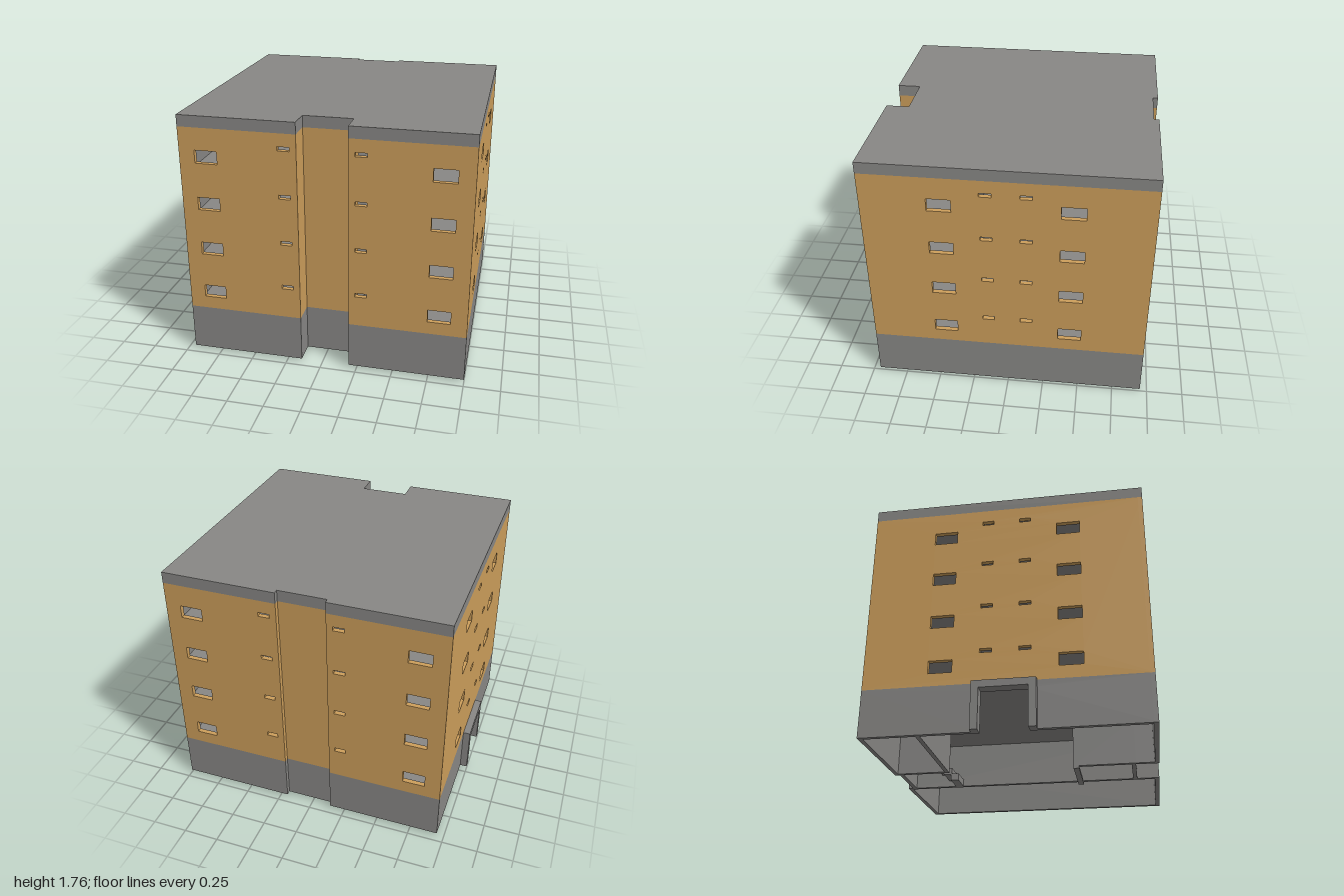
import * as THREE from 'three';

const T = 0.03; // outer wall thickness
const Y0 = 0.02, Y1 = 0.35, Y2 = 1.685, Y3 = 1.765; // base, facade, roof band, top
const STOREY = 0.333;

const mat = (name, color) => {
  const m = new THREE.MeshStandardMaterial({ color });
  m.name = name;
  return m;
};

// Plan as [x, z] points, inset by i, running so that the outside is on the right
const plan = (i = 0) => {
  const l = -0.95 + i, r = 1 - i, f = 0.95 - i, b = -0.95 + i;
  const nl = -0.145 - i, nr = 0.195 + i, nf = 0.79 - i, nb = -0.915 + i;
  return [[l, f], [nl, f], [nl, nf], [nr, nf], [nr, f], [r, f],
    [r, b], [nr, b], [nr, nb], [nl, nb], [nl, b], [l, b]];
};

const rectPoints = (u0, u1, v0, v1) =>
  [[u0, v0], [u1, v0], [u1, v1], [u0, v1]].map(p => new THREE.Vector2(...p));

// Upright panel from plan point a to b; its outer face lies `back` behind that line
function panel(a, b, y0, y1, { depth = T, back = 0, trim = 0, holes = [], door = null }, material) {
  const dx = b[0] - a[0], dz = b[1] - a[1], len = Math.hypot(dx, dz);
  const pts = rectPoints(trim, len - trim, y0, y1);
  if (door) {
    const [u0, u1, h] = door;
    pts.splice(1, 0, ...[[u0, y0], [u0, h], [u1, h], [u1, y0]].map(p => new THREE.Vector2(...p)));
  }
  const shape = new THREE.Shape(pts);
  for (const h of holes) shape.holes.push(new THREE.Path(rectPoints(...h).reverse()));
  const geo = new THREE.ExtrudeGeometry(shape, { depth, bevelEnabled: false });
  geo.translate(0, 0, -depth - back);
  const mesh = new THREE.Mesh(geo, material);
  mesh.rotation.y = Math.atan2(-dz, dx);
  mesh.position.set(a[0], 0, a[1]);
  return mesh;
}

// Horizontal slab following the plan
function slab(name, inset, y, h, material) {
  const shape = new THREE.Shape(plan(inset).map(([x, z]) => new THREE.Vector2(x, -z)));
  const geo = new THREE.ExtrudeGeometry(shape, { depth: h, bevelEnabled: false });
  geo.rotateX(-Math.PI / 2).translate(0, y, 0);
  const mesh = new THREE.Mesh(geo, material);
  mesh.name = name;
  return mesh;
}

// Box given by its limits
function block(name, x0, x1, y0, y1, z0, z1, material) {
  const geo = new THREE.BoxGeometry(x1 - x0, y1 - y0, z1 - z0);
  geo.translate((x0 + x1) / 2, (y0 + y1) / 2, (z0 + z1) / 2);
  const mesh = new THREE.Mesh(geo, material);
  mesh.name = name;
  return mesh;
}

// Repeats one storey of large and small window openings over four storeys
function windows(large, small) {
  const holes = [];
  for (let s = 0; s < 4; s++) {
    const y = s * STOREY;
    for (const [a, b] of large) holes.push([a, b, 0.44 + y, 0.53 + y]);
    for (const [a, b] of small) holes.push([a, b, 0.568 + y, 0.596 + y]);
  }
  return holes;
}

export function createModel() {
  const model = new THREE.Group();
  model.name = 'apartmentBlock';
  const grey = mat('concreteGrey', 0x888785);
  const ochre = mat('facadeOchre', 0xcc9e5b);

  // Window layouts, measured along each wall
  const outerFirst = windows([[0.108, 0.263]], [[0.678, 0.758]]);
  const innerFirst = windows([[0.538, 0.693]], [[0.043, 0.123]]);
  const side = windows([[0.44, 0.6], [1.3, 1.46]], [[0.78, 0.86], [1.04, 1.12]]);
  const layouts = { 0: outerFirst, 4: innerFirst, 5: side, 6: outerFirst, 10: innerFirst, 11: side };

  // Outer walls: grey base, ochre facade, grey inner lining
  const base = new THREE.Group(), facade = new THREE.Group(), lining = new THREE.Group();
  base.name = 'baseWalls';
  facade.name = 'facadeWalls';
  lining.name = 'wallLining';
  const points = plan();
  points.forEach((a, i) => {
    const b = points[(i + 1) % points.length];
    const holes = layouts[i] || [];
    const door = i === 11 ? [0.79, 1.11, 0.3] : null;
    base.add(panel(a, b, Y0, Y1, { door }, grey));
    facade.add(panel(a, b, Y1, Y2, { holes }, ochre));
    if (holes.length)
      lining.add(panel(a, b, Y1, Y2, { holes, depth: 0.004, back: T, trim: T + 0.005 }, grey));
  });
  model.add(base, facade, lining);

  // Roof band and storey floors
  model.add(slab('roof', 0, Y2, Y3 - Y2, grey));
  for (let s = 0; s < 4; s++) model.add(slab('floor', T, Y1 - 0.01 + s * STOREY, 0.02, grey));

  // Upper partitions: rooms on both sides of a clear corridor
  for (const s of [-1, 1]) {
    const z0 = s > 0 ? 0.2 : -0.9, z1 = s > 0 ? 0.9 : -0.2;
    model.add(
      block('roomWall', 0.197, 0.222, Y1, Y2, z0, z1, grey),
      block('roomWall', -0.172, -0.147, Y1, Y2, z0, z1, grey),
      block('corridorWall', 0.2, 0.965, Y1, Y2, s * 0.21 - 0.01, s * 0.21 + 0.01, grey),
      block('corridorWall', -0.915, -0.15, Y1, Y2, s * 0.21 - 0.01, s * 0.21 + 0.01, grey));
  }

  // Ground floor partitions and lobby threshold
  model.add(
    block('groundHallWall', 0.195, 0.225, Y0, Y1, -0.92, 0.92, grey),
    block('lobbyWall', -0.175, -0.145, Y0, Y1, 0.355, 0.8, grey),
    block('storeSideWall', -0.175, -0.145, Y0, Y1, -0.92, -0.55, grey),
    block('storeFrontWall', -0.93, -0.145, Y0, Y1, -0.575, -0.545, grey),
    block('lobbyThreshold', -0.18, 0.225, 0, Y0, 0.355, 0.395, grey));

  // Stair flight rising towards the back
  const stairs = new THREE.Group();
  stairs.name = 'stairs';
  for (let i = 0; i < 7; i++) {
    const y = Y0 + i * 0.045, z = -0.52 - i * 0.053;
    stairs.add(block('step', 0.03, 0.195, y, y + 0.05, z - 0.058, z, grey));
  }
  model.add(stairs);

  // Side entrance portal
  const portal = new THREE.Group();
  portal.name = 'entrancePortal';
  portal.add(
    block('portalPost', -1, -0.95, Y0, Y1, -0.21, -0.16, grey),
    block('portalPost', -1, -0.95, Y0, Y1, 0.16, 0.21, grey),
    block('portalLintel', -1, -0.95, 0.3, Y1, -0.16, 0.16, grey));
  model.add(portal);

  return model;
}
